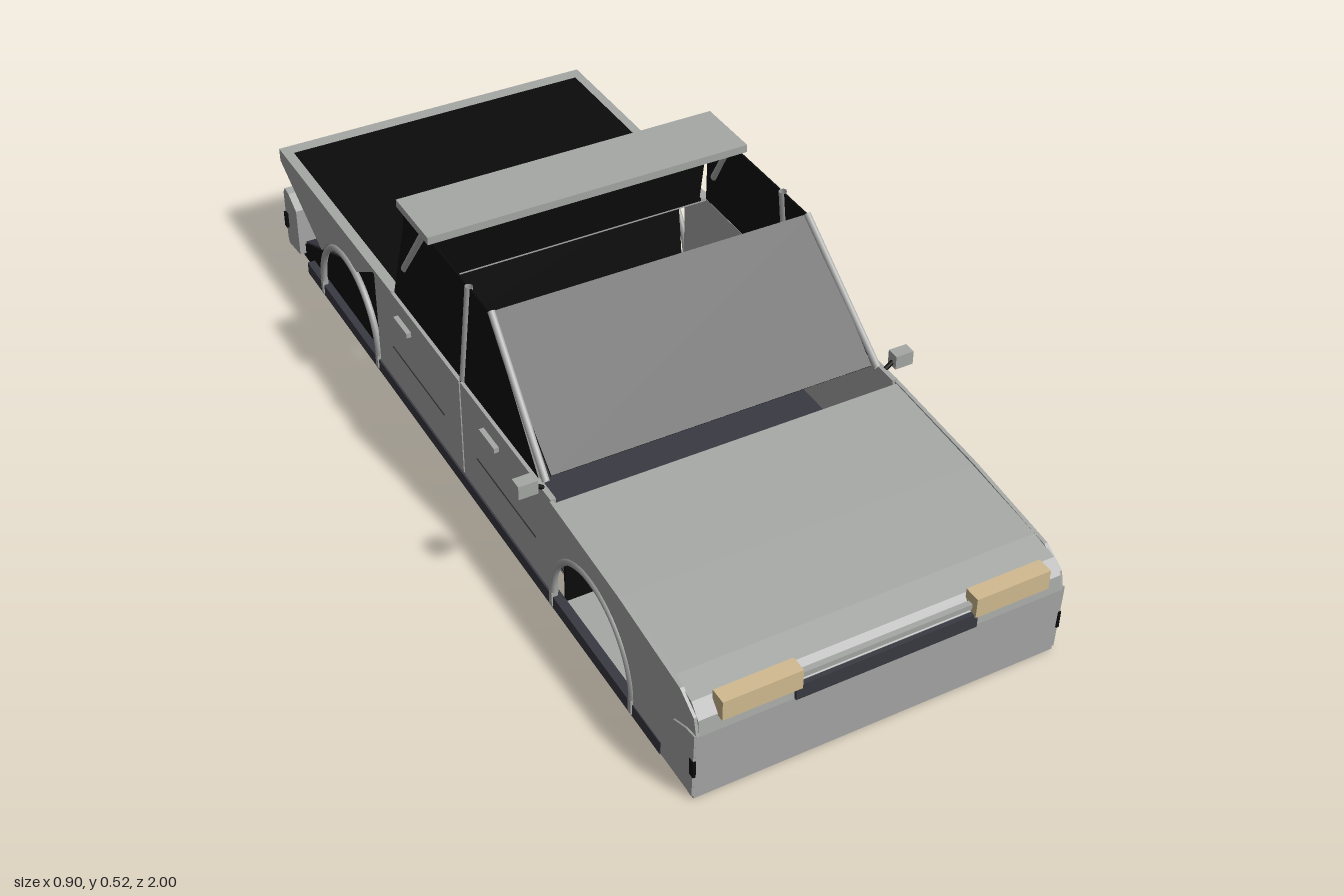
import * as THREE from 'three';

const mat = (name, color) => {
  const m = new THREE.MeshStandardMaterial({ color, side: THREE.DoubleSide });
  m.name = name;
  return m;
};

export function createModel() {
  const car = new THREE.Group();
  car.name = 'pickup';
  const grey = mat('bodyGrey', 0xa6a8a6);
  const black = mat('black', 0x0b0b0b);
  const charcoal = mat('charcoal', 0x393942);
  const tan = mat('lampTan', 0xd2bb90);

  const add = (name, geo, m) => {
    const mesh = new THREE.Mesh(geo, m);
    mesh.name = name;
    car.add(mesh);
    return mesh;
  };
  const box = (name, m, w, h, d, x, y, z) =>
    add(name, new THREE.BoxGeometry(w, h, d).translate(x, y, z), m);
  const pair = (name, m, w, h, d, x, y, z) => {
    for (const s of [1, -1]) box(name, m, w, h, d, s * x, y, z);
  };
  // side outline (shape or [z, y] points), extruded across x and ending at x = right
  const prism = (name, m, outline, width, right = width / 2) => {
    const shape = outline instanceof THREE.Shape
      ? outline : new THREE.Shape(outline.map(p => new THREE.Vector2(...p)));
    const geo = new THREE.ExtrudeGeometry(shape, { depth: width, bevelEnabled: false, curveSegments: 20 });
    geo.rotateY(-Math.PI / 2).translate(right, 0, 0);
    return add(name, geo, m);
  };
  const sidePlates = (name, m, outline, x, t) => {
    prism(name, m, outline, t, x);
    prism(name, m, outline, t, -x + t);
  };
  // flat panel spanning x between two [z, y] points
  const panel = (name, m, a, b, width, t) => {
    const dz = b[0] - a[0], dy = b[1] - a[1];
    const geo = new THREE.BoxGeometry(width, t, Math.hypot(dz, dy));
    geo.rotateX(-Math.atan2(dy, dz)).translate(0, (a[1] + b[1]) / 2, (a[0] + b[0]) / 2);
    add(name, geo, m);
  };
  const rods = (name, m, a, b, r) => {
    for (const s of [1, -1]) {
      const curve = new THREE.LineCurve3(new THREE.Vector3(s * a[0], a[1], a[2]), new THREE.Vector3(s * b[0], b[1], b[2]));
      add(name, new THREE.TubeGeometry(curve, 1, r, 8), m);
    }
  };

  // Hood and nose as one thin bent sheet
  prism('hoodAndNose', grey, [
    [0.43, 0.272], [0.7, 0.256], [0.9, 0.238], [0.96, 0.226], [0.985, 0.2], [0.99, 0.165], [0.985, 0.005],
    [0.975, 0.005], [0.98, 0.165], [0.975, 0.195], [0.95, 0.216], [0.9, 0.228], [0.7, 0.246], [0.43, 0.262],
  ], 0.78);
  panel('noseUnderside', grey, [0.43, 0.008], [0.985, 0.008], 0.78, 0.006);
  pair('headlight', tan, 0.165, 0.045, 0.035, 0.268, 0.218, 0.9825);
  box('grille', charcoal, 0.39, 0.034, 0.02, 0, 0.182, 0.985);
  box('grilleTrim', grey, 0.37, 0.012, 0.012, 0, 0.214, 0.982);

  // Front fenders cut out around the wheel
  const fender = new THREE.Shape();
  fender.moveTo(0.43, 0.275).lineTo(0.7, 0.26).lineTo(0.93, 0.235).lineTo(0.98, 0.205)
    .lineTo(0.99, 0.165).lineTo(0.985, 0.005).lineTo(0.75, 0.005).lineTo(0.755, 0.045);
  fender.absarc(0.59, 0.045, 0.165, 0, Math.PI, false);
  fender.lineTo(0.425, 0.275);
  sidePlates('frontFender', grey, fender, 0.396, 0.008);
  sidePlates('frontBumperEnd', grey, [[0.915, 0.02], [0.985, 0.012], [0.99, 0.17], [0.96, 0.165], [0.915, 0.145]], 0.4, 0.006);

  // Wheel arch lips
  for (const s of [1, -1]) for (const z of [0.59, -0.603]) {
    const arch = new THREE.TorusGeometry(0.163, 0.008, 6, 28, Math.PI);
    arch.rotateY(Math.PI / 2).translate(s * 0.394, 0.045, z);
    add('wheelArch', arch, grey);
    for (const e of [1, -1]) box('wheelArchEnd', grey, 0.014, 0.035, 0.012, s * 0.394, 0.028, z + e * 0.163);
  }

  // Front wheel well
  prism('frontWell', black, [[0.78, 0.015], [0.76, 0.1], [0.56, 0.16], [0.43, 0.12], [0.43, 0.015]], 0.6);
  sidePlates('frontWellPanel', charcoal, [[0.64, 0.09], [0.6, 0.05], [0.7, 0.03], [0.44, 0.03], [0.44, 0.1], [0.55, 0.07]], 0.304, 0.004);
  prism('innerFender', grey, [[0.43, 0.01], [0.97, 0.01], [0.97, 0.19], [0.9, 0.22], [0.43, 0.25]], 0.006);
  panel('firewall', black, [0.43, 0.01], [0.432, 0.25], 0.74, 0.006);

  // Doors, handles and seams
  for (const [a, b] of [[0.425, 0.016], [0.01, -0.43]]) {
    sidePlates('door', grey, [[a, 0.035], [a, 0.278], [b, 0.28], [b, 0.035]], 0.394, 0.012);
    const mid = (a + b) / 2;
    pair('doorHandle', grey, 0.014, 0.012, 0.07, 0.398, 0.234, mid - 0.06);
    pair('doorCrease', charcoal, 0.002, 0.003, 0.27, 0.3945, 0.13, mid);
  }
  pair('doorSeam', black, 0.006, 0.24, 0.006, 0.388, 0.16, 0.013);
  pair('sill', charcoal, 0.02, 0.03, 1.73, 0.388, 0.02, 0);

  // Cabin floor
  box('cabinFloor', charcoal, 0.72, 0.006, 0.86, 0, 0.063, 0);
  box('floorUnderside', grey, 0.72, 0.004, 0.86, 0, 0.057, 0);

  // Side glass leaning inward towards the top
  const lean = y => 0.384 - (y - 0.285) * 0.1;
  for (const outline of [
    [[0.36, 0.28], [0.11, 0.505], [0.022, 0.505], [0.022, 0.28]],
    [[0.004, 0.28], [0.004, 0.505], [-0.295, 0.505], [-0.335, 0.28]],
  ]) for (const s of [1, -1]) {
    const glass = prism('sideWindow', black, outline, 0.004);
    const p = glass.geometry.attributes.position;
    for (let i = 0; i < p.count; i++) p.setX(i, p.getX(i) + s * lean(p.getY(i)));
    glass.geometry.computeVertexNormals();
  }
  panel('windshield', black, [0.37, 0.285], [0.11, 0.505], 0.73, 0.005);
  panel('rearWindow', black, [-0.338, 0.28], [-0.3, 0.505], 0.73, 0.005);
  rods('windshieldPillar', grey, [0.378, 0.28, 0.375], [0.36, 0.508, 0.112], 0.008);
  rods('doorPillar', grey, [0.384, 0.28, 0.013], [0.362, 0.506, 0.013], 0.009);
  rods('rearPillar', grey, [0.376, 0.365, -0.29], [0.364, 0.51, -0.195], 0.009);

  // Roof band over the rear of the cabin
  box('roofBand', grey, 0.75, 0.018, 0.16, 0, 0.515, -0.235);

  // Door mirrors
  pair('mirror', grey, 0.042, 0.032, 0.028, 0.427, 0.296, 0.385);
  rods('mirrorStalk', black, [0.39, 0.278, 0.385], [0.41, 0.292, 0.385], 0.005);

  // Bed: rim, cover, quarter panels and tail lip
  panel('bedRim', grey, [-0.335, 0.278], [-1, 0.273], 0.785, 0.008);
  panel('bedCover', black, [-0.335, 0.281], [-0.962, 0.277], 0.74, 0.006);
  sidePlates('quarterPanel', grey, [
    [-0.34, 0.282], [-1, 0.277], [-1, 0.245], [-0.765, 0.13], [-0.72, 0.175],
    [-0.66, 0.205], [-0.6, 0.212], [-0.54, 0.208], [-0.44, 0.27], [-0.34, 0.27],
  ], 0.394, 0.01);
  box('tailLip', grey, 0.785, 0.032, 0.008, 0, 0.261, -0.996);
  panel('tailUnderside', grey, [-0.998, 0.246], [-0.8, 0.148], 0.775, 0.005);

  // Rear underbody wedge with a lighter ramp on top
  prism('rearUnderbody', black, [[-0.43, 0.008], [-0.462, 0.25], [-0.92, 0.05], [-1, 0.008]], 0.76);
  panel('rearRamp', charcoal, [-0.465, 0.252], [-0.925, 0.051], 0.755, 0.004);

  // Rear bumper and lamps
  prism('rearBumper', grey, [[-0.922, 0.022], [-0.995, 0.014], [-1, 0.03], [-1, 0.158], [-0.988, 0.174], [-0.965, 0.17], [-0.922, 0.145]], 0.79);
  pair('rearLamp', tan, 0.16, 0.02, 0.03, 0.27, 0.168, -0.984);
  for (const z of [0.983, -0.99]) pair('sideMarker', black, 0.006, 0.04, 0.014, 0.398, 0.085, z);

  return car;
}
